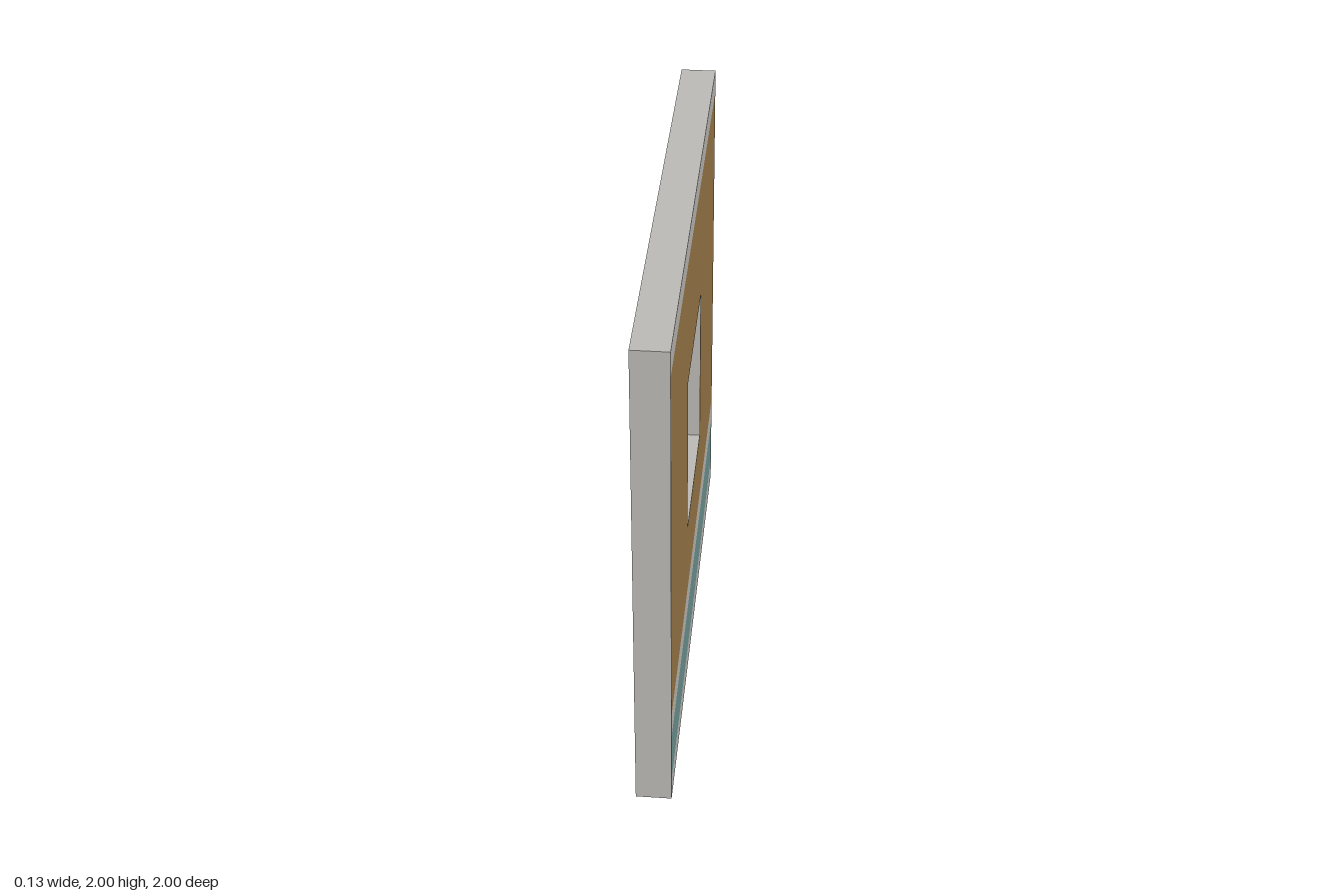
import * as THREE from 'three';

const T = 0.067; // half thickness
const HOLE = { w: 0.3, y0: 0.73, y1: 1.4 };

// Upright rectangle across the wall, optionally with the window cut out
function wallFace(y0, y1, withWindow) {
  const corners = (w, a, b) => [[-w, a], [w, a], [w, b], [-w, b]].map(([x, y]) => new THREE.Vector2(x, y));
  const shape = new THREE.Shape(corners(1, y0, y1));
  if (withWindow) shape.holes.push(new THREE.Path(corners(HOLE.w, HOLE.y0, HOLE.y1).reverse()));
  return new THREE.ShapeGeometry(shape);
}

export function createModel() {
  const group = new THREE.Group();
  const material = (name, color) => {
    const m = new THREE.MeshStandardMaterial({ color, side: THREE.DoubleSide });
    m.name = name;
    return m;
  };
  const plaster = material('grey plaster', 0xbcbab5);
  const brown = material('brown paint', 0x9b7947);
  const teal = material('teal paint', 0x6c9491);

  const add = (name, geometry, mat) => {
    const mesh = new THREE.Mesh(geometry, mat);
    mesh.name = name;
    group.add(mesh);
    return mesh;
  };

  // Painted side, in horizontal bands
  const bands = [
    ['baseBand', 0, 0.1, plaster],
    ['tealStripe', 0.1, 0.31, teal],
    ['middleBand', 0.31, 0.42, plaster],
    ['brownPanel', 0.42, 1.905, brown],
    ['topBand', 1.905, 2, plaster],
  ];
  for (const [name, y0, y1, mat] of bands) {
    add(name, wallFace(y0, y1, mat === brown).rotateY(Math.PI / 2).translate(T, 0, 0), mat);
  }

  // Plain side
  add('plainSide', wallFace(0, 2, true).rotateY(-Math.PI / 2).translate(-T, 0, 0), plaster);

  // Outer rim; the underside stays open
  add('topEdge', new THREE.PlaneGeometry(2 * T, 2).rotateX(-Math.PI / 2).translate(0, 2, 0), plaster);
  add('frontEdge', new THREE.PlaneGeometry(2 * T, 2).translate(0, 1, 1), plaster);
  add('backEdge', new THREE.PlaneGeometry(2 * T, 2).rotateY(Math.PI).translate(0, 1, -1), plaster);

  // Window reveal, facing into the opening
  const h = HOLE.y1 - HOLE.y0;
  const mid = (HOLE.y0 + HOLE.y1) / 2;
  add('windowSill', new THREE.PlaneGeometry(2 * T, 2 * HOLE.w).rotateX(-Math.PI / 2).translate(0, HOLE.y0, 0), plaster);
  add('windowHead', new THREE.PlaneGeometry(2 * T, 2 * HOLE.w).rotateX(Math.PI / 2).translate(0, HOLE.y1, 0), plaster);
  add('windowJambBack', new THREE.PlaneGeometry(2 * T, h).translate(0, mid, -HOLE.w), plaster);
  add('windowJambFront', new THREE.PlaneGeometry(2 * T, h).rotateY(Math.PI).translate(0, mid, HOLE.w), plaster);

  return group;
}
